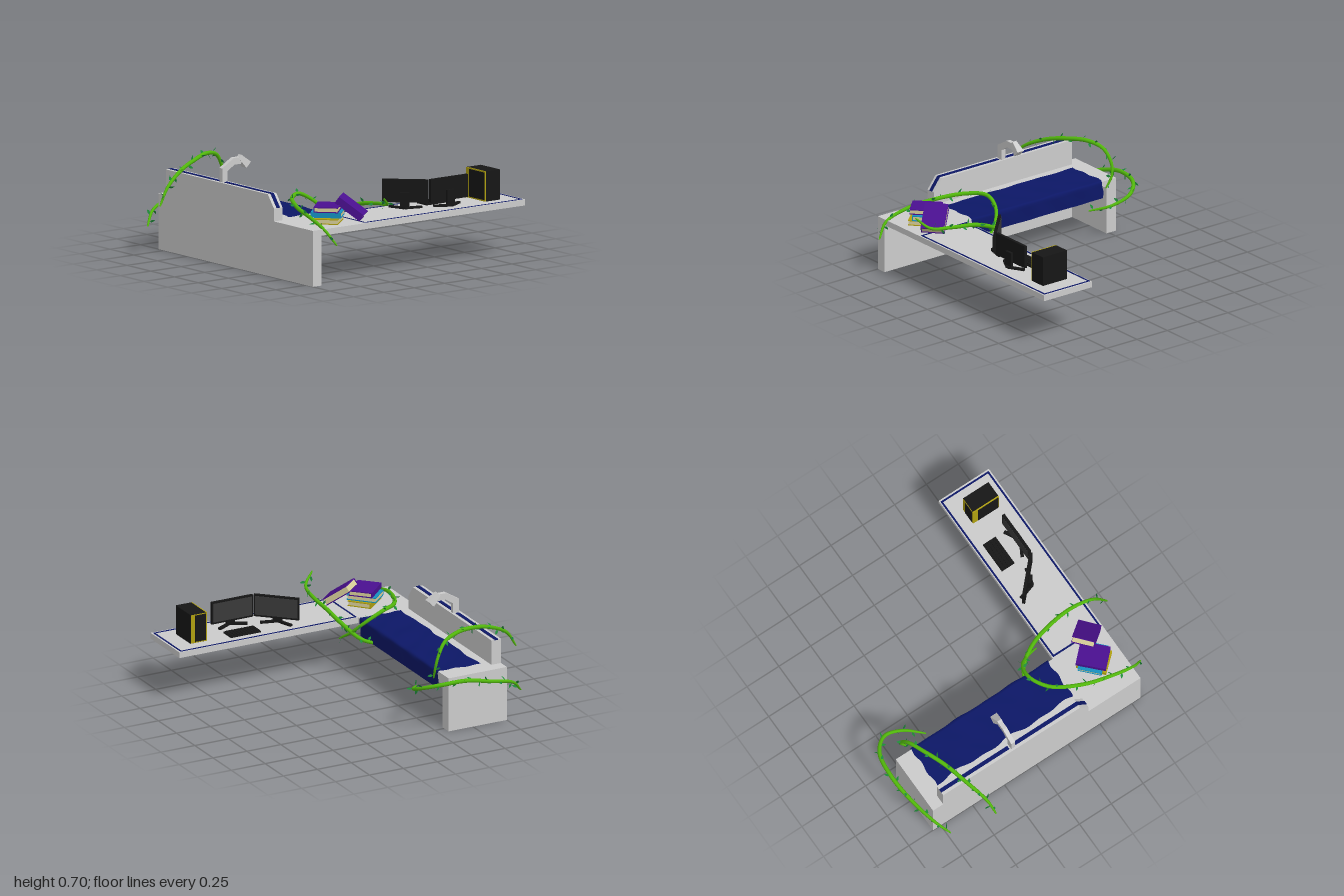
import * as THREE from 'three';

const mat = (color, extra = {}) => new THREE.MeshStandardMaterial({ color, ...extra });
const grey = mat(0xcccccc);
const navy = mat(0x0c1766);
const cloth = mat(0x0c1766, { side: THREE.DoubleSide });
const black = mat(0x161616);
const screenGrey = mat(0x3a3a3a);
const yellow = mat(0xb0a010);
const cream = mat(0xd8cf9a);
const green = mat(0x52b80c);
const leafGreen = mat(0x1f8a3a, { side: THREE.DoubleSide });

function add(parent, name, geo, material) {
  const m = new THREE.Mesh(geo, material);
  m.name = name;
  parent.add(m);
  return m;
}

// Box given by its min and max corners
function box(parent, name, material, x0, x1, y0, y1, z0, z1) {
  const m = add(parent, name, new THREE.BoxGeometry(x1 - x0, y1 - y0, z1 - z0), material);
  m.position.set((x0 + x1) / 2, (y0 + y1) / 2, (z0 + z1) / 2);
  return m;
}

function shapeOf(points) {
  return new THREE.Shape(points.map(p => new THREE.Vector2(...p)));
}

// Draped cover: flat on the bed, hanging down over the open side
function makeCover() {
  const geo = new THREE.PlaneGeometry(1, 1, 24, 40);
  const p = geo.attributes.position;
  const top = 0.3, drop = 0.12;
  for (let i = 0; i < p.count; i++) {
    const s = (p.getX(i) + 0.5) * (top + drop), t = p.getY(i) + 0.5;
    const wave = 0.004 * Math.sin(t * 17 + s * 9) + 0.003 * Math.sin(t * 31 - s * 20);
    const z = 0.385 - t * 1.075 + 0.006 * Math.sin(s * 45);
    if (s <= top) p.setXYZ(i, -0.612 + s + wave * (1 - s / top) * 2, 0.379 + wave * 0.6, z);
    else p.setXYZ(i, -0.309 + wave * 0.6, 0.379 - (s - top) + wave * 0.5, z);
  }
  geo.computeVertexNormals();
  return geo;
}

// Tapered stem with pairs of small leaves
function makeVine(points, seed) {
  const g = new THREE.Group();
  g.name = 'vine';
  const curve = new THREE.CatmullRomCurve3(points.map(p => new THREE.Vector3(...p)));
  const n = 48, sides = 8;
  const geo = new THREE.TubeGeometry(curve, n, 0.014, sides);
  const pos = geo.attributes.position, v = new THREE.Vector3();
  for (let i = 0; i < pos.count; i++) {
    const t = Math.floor(i / (sides + 1)) / n;
    const c = curve.getPointAt(t);
    v.fromBufferAttribute(pos, i).sub(c).multiplyScalar(0.3 + 0.7 * Math.sqrt(Math.sin(Math.PI * Math.min(t, 1))));
    pos.setXYZ(i, c.x + v.x, c.y + v.y, c.z + v.z);
  }
  add(g, 'vineStem', geo, green);

  const leaf = new THREE.ShapeGeometry(shapeOf([[0, 0], [0.009, 0.014], [0.007, 0.026], [0, 0.04], [-0.007, 0.026], [-0.009, 0.014]]));
  const up = new THREE.Vector3(0, 1, 0);
  for (let i = 0; i < 20; i++) {
    const t = 0.03 + 0.94 * i / 19, a = i * 2.4 + seed;
    const tan = curve.getTangentAt(t);
    const side = new THREE.Vector3().crossVectors(tan, up).normalize();
    const dir = side.multiplyScalar(Math.cos(a)).addScaledVector(up, Math.sin(a)).addScaledVector(tan, 0.6).normalize();
    const m = add(g, 'vineLeaf', leaf, leafGreen);
    m.position.copy(curve.getPointAt(t)).addScaledVector(dir, 0.008);
    m.quaternion.setFromUnitVectors(up, dir);
    m.rotateY(a);
  }
  return g;
}

// Book lying flat: two covers, a spine at -x, and the pages
function makeBook(color, w, h, d) {
  const g = new THREE.Group(), c = mat(color), t = 0.006;
  g.name = 'book';
  box(g, 'bookPages', cream, -w / 2 + t, w / 2 - 0.004, t, h - t, -d / 2 + 0.004, d / 2 - 0.004);
  for (const y of [0, h - t]) box(g, 'bookCover', c, -w / 2, w / 2, y, y + t, -d / 2, d / 2);
  box(g, 'bookSpine', c, -w / 2, -w / 2 + t, 0, h, -d / 2, d / 2);
  return g;
}

// Monitor facing -z, on a stand with two splayed feet
function makeMonitor() {
  const g = new THREE.Group();
  g.name = 'monitor';
  box(g, 'monitorPanel', black, -0.152, 0.152, 0.04, 0.192, -0.01, 0.01);
  box(g, 'monitorScreen', screenGrey, -0.142, 0.142, 0.052, 0.182, -0.0115, -0.009);
  box(g, 'monitorNeck', black, -0.03, 0.03, 0.008, 0.11, 0.01, 0.028);
  for (const s of [-1, 1]) {
    const foot = box(g, 'monitorFoot', black, -0.06, 0.06, 0, 0.014, -0.011, 0.011);
    foot.position.x = s * 0.052;
    foot.position.z = 0.004;
    foot.rotation.y = s * 0.5;
  }
  return g;
}

export function createModel() {
  const root = new THREE.Group();
  root.name = 'bedAndDesk';

  // Bed: side wall, end panel and thin platform, open underneath
  box(root, 'sideWall', grey, -0.75, -0.68, 0, 0.37, -0.81, 0.82);
  box(root, 'endPanel', grey, -0.68, -0.32, 0, 0.37, -0.81, -0.73);
  box(root, 'bedPlatform', grey, -0.68, -0.32, 0.33, 0.37, -0.73, 0.82);
  add(root, 'bedCover', makeCover(), cloth);

  // Raised backrest with one cut corner (profile in z,y)
  const back = new THREE.ExtrudeGeometry(
    shapeOf([[-0.41, 0.37], [0.73, 0.37], [0.73, 0.54], [-0.345, 0.54], [-0.41, 0.455]]),
    { depth: 0.07, bevelEnabled: false });
  back.rotateY(Math.PI / 2);
  add(root, 'backrest', back, grey).position.x = -0.75;
  box(root, 'backrestStrip', navy, -0.728, -0.702, 0.536, 0.543, -0.73, -0.195);
  box(root, 'backrestStrip', navy, -0.728, -0.702, 0.536, 0.543, -0.145, 0.345);
  const slope = add(root, 'backrestSlopeStrip', new THREE.BoxGeometry(0.026, 0.006, 0.107), navy);
  slope.position.set(-0.715, 0.498, 0.378);
  slope.rotation.x = Math.atan2(0.085, 0.065);

  // Reading lamp: bent arm and flared head
  const arm = new THREE.ExtrudeGeometry(
    shapeOf([[-0.735, 0.54], [-0.69, 0.54], [-0.69, 0.61], [-0.635, 0.645], [-0.58, 0.645], [-0.57, 0.69], [-0.64, 0.69], [-0.735, 0.632]]),
    { depth: 0.03, bevelEnabled: false });
  add(root, 'lampArm', arm, grey).position.z = -0.185;
  const head = new THREE.CylinderGeometry(0.022, 0.037, 0.085, 4, 1);
  head.rotateY(Math.PI / 4);
  const headMesh = add(root, 'lampHead', head, mat(0xcccccc, { flatShading: true }));
  headMesh.position.set(-0.556, 0.663, -0.17);
  headMesh.rotation.z = 0.8;

  // Desk with inlaid border
  box(root, 'deskTop', grey, -0.32, 1, 0.33, 0.37, 0.425, 0.82);
  for (const z of [0.432, 0.797]) box(root, 'deskInlay', navy, -0.312, 0.988, 0.366, 0.372, z, z + 0.012);
  for (const x of [-0.312, 0.976]) box(root, 'deskInlay', navy, x, x + 0.012, 0.366, 0.372, 0.432, 0.809);

  // Monitors
  for (const [x, z, r] of [[0.477, 0.68, 0], [0.2, 0.578, -0.76]]) {
    const m = makeMonitor();
    m.position.set(x, 0.37, z);
    m.rotation.y = r;
    root.add(m);
  }

  // Keyboard
  box(root, 'keyboardBase', black, 0.365, 0.585, 0.37, 0.38, 0.49, 0.59);
  for (let r = 0; r < 4; r++) for (let c = 0; c < 10; c++) {
    const x = 0.371 + c * 0.021, z = 0.496 + r * 0.023;
    box(root, 'key', black, x, x + 0.017, 0.38, 0.387, z, z + 0.018);
  }

  // Computer case with coloured edging
  box(root, 'computerCase', black, 0.752, 0.865, 0.37, 0.57, 0.525, 0.725);
  box(root, 'caseEdging', yellow, 0.744, 0.752, 0.37, 0.57, 0.525, 0.725);
  box(root, 'casePanel', black, 0.74, 0.745, 0.38, 0.562, 0.56, 0.718);
  box(root, 'caseFrontEdging', yellow, 0.744, 0.862, 0.372, 0.568, 0.522, 0.526);
  box(root, 'caseFrontPanel', black, 0.754, 0.832, 0.38, 0.562, 0.518, 0.523);

  // Stack of books and one leaning on it
  const stack = [[0xb0a010, -0.48, 0.64, -0.85], [0x1590c0, -0.48, 0.63, 0.75], [0x4a1090, -0.48, 0.632, -0.8]];
  stack.forEach(([color, x, z, r], i) => {
    const b = makeBook(color, 0.16, 0.036, 0.2);
    b.position.set(x, 0.371 + i * 0.038, z);
    b.rotation.y = r;
    root.add(b);
  });
  const leaning = makeBook(0x4a1090, 0.155, 0.05, 0.2);
  leaning.position.set(-0.335, 0.437, 0.672);
  leaning.rotation.order = 'YXZ';
  leaning.rotation.set(0.62, 0.72, 0);
  root.add(leaning);

  // Vines winding round both ends of the bed
  const vines = [
    [[-0.88, 0.17, -0.76], [-0.79, 0.26, -0.82], [-0.6, 0.32, -0.875], [-0.4, 0.37, -0.9], [-0.22, 0.36, -0.87],
      [-0.13, 0.32, -0.77], [-0.15, 0.27, -0.64], [-0.24, 0.235, -0.52]],
    [[-0.995, 0.36, -0.48], [-0.92, 0.47, -0.5], [-0.76, 0.56, -0.56], [-0.6, 0.605, -0.615], [-0.45, 0.62, -0.68],
      [-0.34, 0.59, -0.72], [-0.28, 0.5, -0.74], [-0.265, 0.42, -0.73], [-0.275, 0.34, -0.69]],
    [[-0.62, 0.27, 0.91], [-0.655, 0.36, 0.83], [-0.645, 0.42, 0.66], [-0.6, 0.45, 0.47], [-0.5, 0.475, 0.28],
      [-0.38, 0.48, 0.205], [-0.27, 0.42, 0.22], [-0.2, 0.33, 0.3], [-0.165, 0.26, 0.4]],
    [[-0.24, 0.54, 0.91], [-0.16, 0.48, 0.85], [-0.125, 0.46, 0.7], [-0.135, 0.43, 0.52], [-0.17, 0.37, 0.36],
      [-0.25, 0.29, 0.24], [-0.38, 0.255, 0.205], [-0.52, 0.255, 0.23]],
  ];
  vines.forEach((pts, i) => root.add(makeVine(pts, i * 1.3)));

  return root;
}
